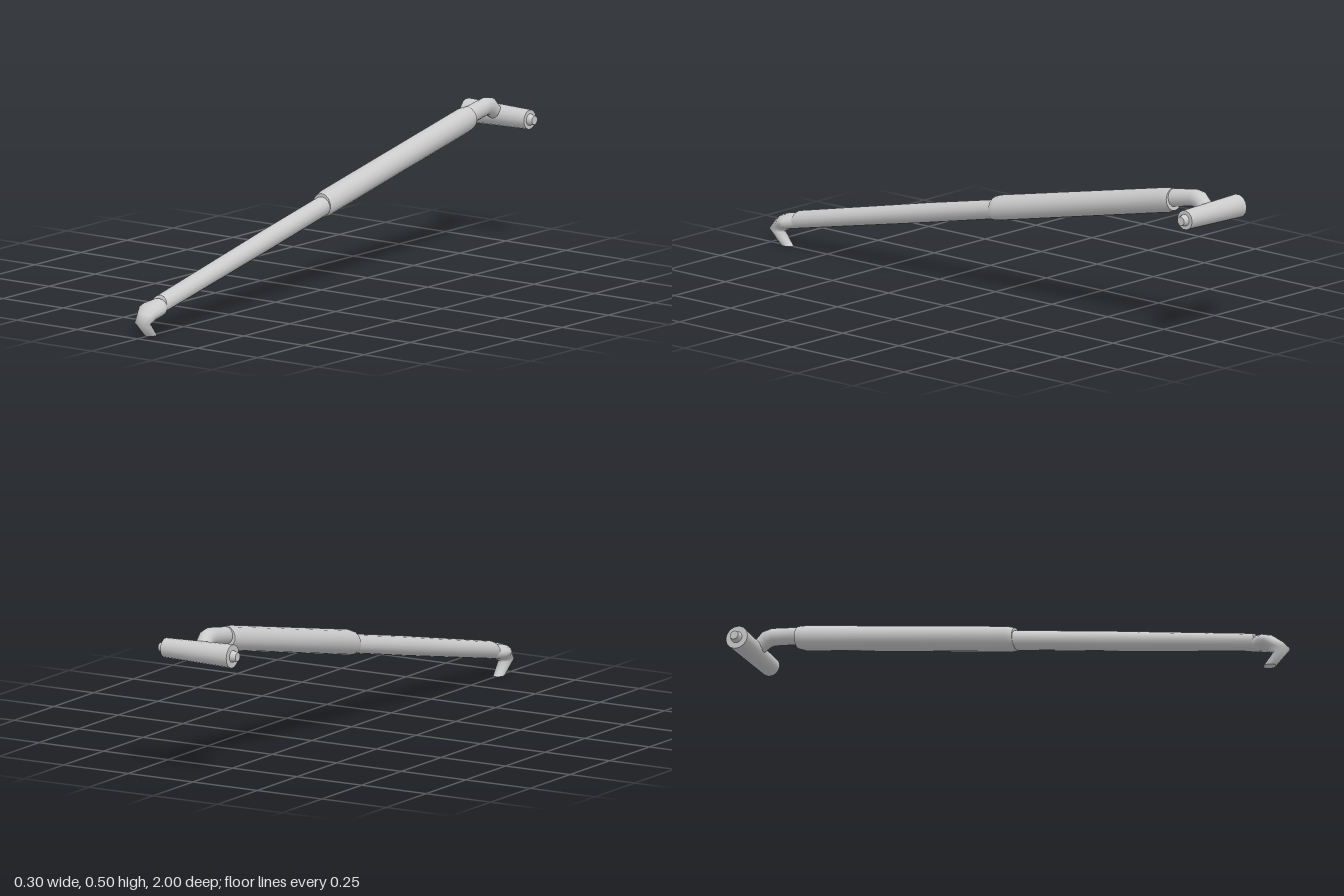
import * as THREE from 'three';

const SIDES = 14;
const material = new THREE.MeshStandardMaterial({ color: 0xcccccc });

// Loft of elliptical rings; each station is [topZ, topY, bottomZ, bottomY, halfWidth],
// listed from the front end to the back end.
function loft(name, stations) {
  const pos = [], index = [];
  const ring = ([tz, ty, bz, by, w]) => {
    const start = pos.length / 3;
    for (let j = 0; j < SIDES; j++) {
      const a = (j / SIDES) * Math.PI * 2;
      const c = Math.cos(a) / 2;
      pos.push(Math.sin(a) * w, (ty + by) / 2 + (ty - by) * c, (tz + bz) / 2 + (tz - bz) * c);
    }
    return start;
  };
  const rings = stations.map(ring);
  for (let i = 0; i < rings.length - 1; i++) {
    for (let j = 0; j < SIDES; j++) {
      const k = (j + 1) % SIDES, a = rings[i], b = rings[i + 1];
      index.push(a + j, a + k, b + j, a + k, b + k, b + j);
    }
  }
  // separate end rings keep the cap edges sharp
  const first = ring(stations[0]), last = ring(stations[stations.length - 1]);
  for (let j = 1; j < SIDES - 1; j++) {
    index.push(first, first + j + 1, first + j);
    index.push(last, last + j, last + j + 1);
  }
  const geometry = new THREE.BufferGeometry();
  geometry.setAttribute('position', new THREE.Float32BufferAttribute(pos, 3));
  geometry.setIndex(index);
  geometry.computeVertexNormals();
  const mesh = new THREE.Mesh(geometry, material);
  mesh.name = name;
  return mesh;
}

// Round part lying along x
function crossPart(name, rightEnd, leftEnd, rightRadius, leftRadius) {
  const geometry = new THREE.CylinderGeometry(leftRadius, rightRadius, leftEnd - rightEnd, SIDES);
  geometry.rotateZ(-Math.PI / 2);
  const mesh = new THREE.Mesh(geometry, material);
  mesh.position.set((rightEnd + leftEnd) / 2, 0.432, -0.961);
  mesh.name = name;
  return mesh;
}

export function createModel() {
  const group = new THREE.Group();
  group.name = 'strut';

  // Hooked foot with a knuckle bulging sideways
  group.add(loft('hookedFoot', [
    [0.95, 0.0, 0.905, 0.0, 0.018],
    [1.0, 0.052, 0.945, 0.043, 0.026],
    [0.975, 0.08, 0.925, 0.053, 0.035],
    [0.945, 0.104, 0.912, 0.059, 0.049],
    [0.92, 0.112, 0.895, 0.063, 0.049],
    [0.885, 0.118, 0.87, 0.068, 0.031],
  ]));

  // Slim front tube and thicker rear sleeve
  group.add(loft('frontTube', [
    [0.875, 0.127, 0.895, 0.062, 0.033],
    [0.3, 0.252, 0.31, 0.182, 0.035],
    [-0.02, 0.318, -0.01, 0.25, 0.035],
  ]));
  group.add(loft('rearSleeve', [
    [0.0, 0.325, 0.0, 0.245, 0.037],
    [-0.025, 0.334, -0.02, 0.246, 0.042],
    [-0.76, 0.485, -0.775, 0.402, 0.042],
    [-0.79, 0.488, -0.8, 0.413, 0.038],
  ]));

  // Neck bending down into the cross bar
  group.add(loft('neck', [
    [-0.76, 0.481, -0.78, 0.423, 0.028],
    [-0.89, 0.502, -0.885, 0.442, 0.028],
    [-0.925, 0.496, -0.9, 0.441, 0.028],
    [-0.965, 0.455, -0.935, 0.42, 0.026],
  ]));

  // Cross bar with end pegs
  group.add(crossPart('crossBar', -0.13, 0.13, 0.04, 0.033));
  group.add(crossPart('rightPeg', -0.15, -0.13, 0.015, 0.02));
  group.add(crossPart('leftPeg', 0.13, 0.15, 0.02, 0.015));
  return group;
}
